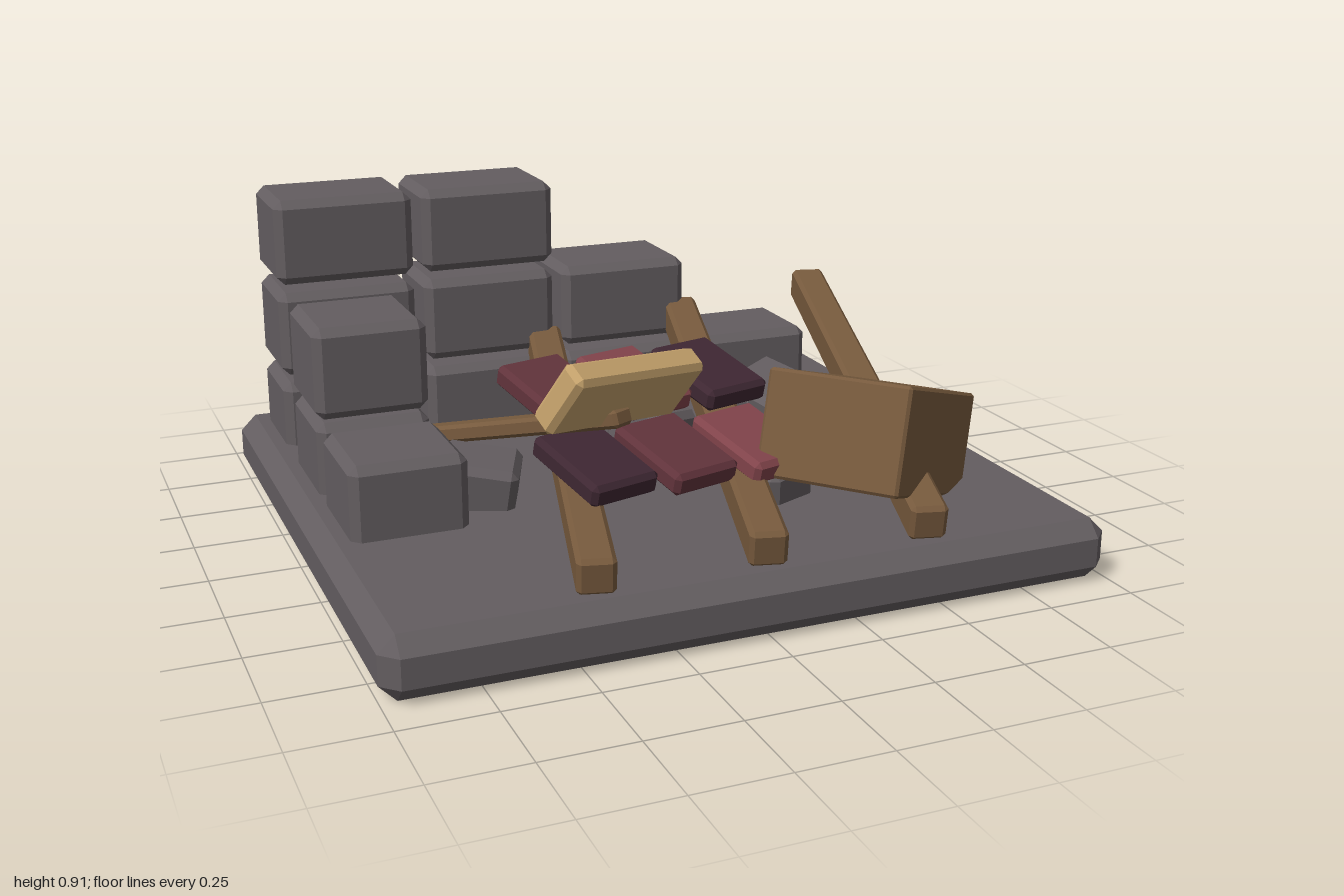
import * as THREE from 'three';
import { ConvexGeometry } from 'three/addons/geometries/ConvexGeometry.js';

const V = (x, y, z) => new THREE.Vector3(x, y, z);
const paint = (name, hex) => {
  const m = new THREE.MeshStandardMaterial({ color: hex });
  m.name = name;
  return m;
};

// Box with chamfered edges and flat faces
function chamferBox(w, h, d, bevel) {
  const half = [w / 2, h / 2, d / 2], points = [];
  for (const sx of [-1, 1]) for (const sy of [-1, 1]) for (const sz of [-1, 1])
    for (let axis = 0; axis < 3; axis++) {
      const p = [sx, sy, sz].map((s, i) => s * (half[i] - (i === axis ? 0 : bevel)));
      points.push(V(...p));
    }
  return new ConvexGeometry(points);
}

export function createModel() {
  const model = new THREE.Group();
  model.name = 'ruinedWorkshop';
  const stone = paint('stone', 0x635d60);
  const wood = paint('wood', 0x775a3d);
  const paleWood = paint('paleWood', 0xc5a26c);
  const tileRed = paint('tileRed', 0x80434a);
  const tileMid = paint('tileMaroon', 0x61333b);
  const tileDark = paint('tilePlum', 0x3e2732);

  function block(name, size, bevel, material, position, rotation = [0, 0, 0]) {
    const mesh = new THREE.Mesh(chamferBox(...size, bevel), material);
    mesh.name = name;
    mesh.position.set(...position);
    mesh.rotation.set(...rotation, 'YXZ');
    model.add(mesh);
    return mesh;
  }

  // Turn a block so its x axis follows `along` and its y axis leans to `up`
  function orient(mesh, along, up) {
    const x = along.clone().normalize();
    const z = x.clone().cross(up).normalize();
    const y = z.clone().cross(x);
    mesh.quaternion.setFromRotationMatrix(new THREE.Matrix4().makeBasis(x, y, z));
  }

  // Long timber between two points
  function timber(name, from, to, height, width, bevel) {
    const dir = to.clone().sub(from);
    const mid = from.clone().add(to).multiplyScalar(0.5);
    orient(block(name, [dir.length(), height, width], bevel, wood, mid.toArray()), dir, V(0, 1, 0));
  }

  // Floor slab
  block('floorSlab', [2, 0.17, 1.81], 0.045, stone, [0, 0.085, 0]);

  // Stepped back wall: four, three and two blocks
  [4, 3, 2].forEach((count, row) => {
    for (let i = 0; i < count; i++)
      block('backWallBlock', [0.41, 0.25, 0.3], 0.024, stone, [-0.715 + i * 0.44, 0.235 + row * 0.275, -0.67]);
  });

  // Stepped side wall
  for (const [y, z] of [[0.245, -0.23], [0.245, 0.14], [0.515, -0.23]])
    block('sideWallBlock', [0.32, 0.26, 0.325], 0.024, stone, [-0.76, y, z]);

  // Fallen rubble
  const rubble = [
    [0.13, 0.23, -0.36, 0.22, 0.19, 0.2, 0.1, 0.85, 0.12],
    [0.07, 0.23, -0.08, 0.19, 0.17, 0.2, 0.1, 0.5, -0.15],
    [0.51, 0.24, -0.22, 0.26, 0.14, 0.2, 0.2, 0.5, 0.15],
    [0.53, 0.23, -0.06, 0.22, 0.16, 0.2, 0.12, 0.25, 0.1],
    [0.36, 0.2, -0.07, 0.18, 0.1, 0.14, 0.1, -0.4, 0.1],
    [-0.52, 0.22, 0.11, 0.22, 0.16, 0.19, 0.1, -0.4, -0.15],
    [0.25, 0.2, 0.36, 0.17, 0.15, 0.18, 0.1, 0.4, 0.1],
  ];
  for (const [x, y, z, w, h, d, ...turn] of rubble)
    block('rubble', [w, h, d], 0.02, stone, [x, y, z], turn);

  // Collapsed roof beams, each resting a little higher at the back
  [0.4, 0.45, 0.5].forEach((backY, i) => {
    const x = -0.45 + i * 0.46;
    timber('roofBeam', V(x, 0.215, 0.84), V(x + 0.36, backY, -0.57), 0.1, 0.1, 0.012);
  });

  // Roof tiles in two sloping rows
  [[tileMid, tileRed, tileDark], [tileDark, tileMid, tileRed]].forEach((row, r) => {
    row.forEach((material, i) =>
      block('roofTile', [0.21, 0.065, 0.29], 0.014, material,
        [-0.305 + i * 0.227, 0.465 - r * 0.11, 0.145 + r * 0.3], [0.24, 0.27, 0]));
  });

  // Tipped crate, half sunk in the debris
  const crate = block('crate', [0.6, 0.29, 0.395], 0.008, wood, [0.484, 0.351, 0.485]);
  orient(crate, V(0.43, -0.18, -0.37), V(0.216, 0.957, -0.187));

  // Mallet leaning on the tiles
  timber('malletHandle', V(-0.74, 0.2, -0.41), V(-0.25, 0.5, 0.515), 0.05, 0.07, 0.01);
  const head = block('malletHead', [0.46, 0.2, 0.08], 0.015, paleWood, [-0.245, 0.56, 0.48]);
  orient(head, V(0.42, -0.05, -0.18), V(0.08, 0.2, 0.12));

  return model;
}
